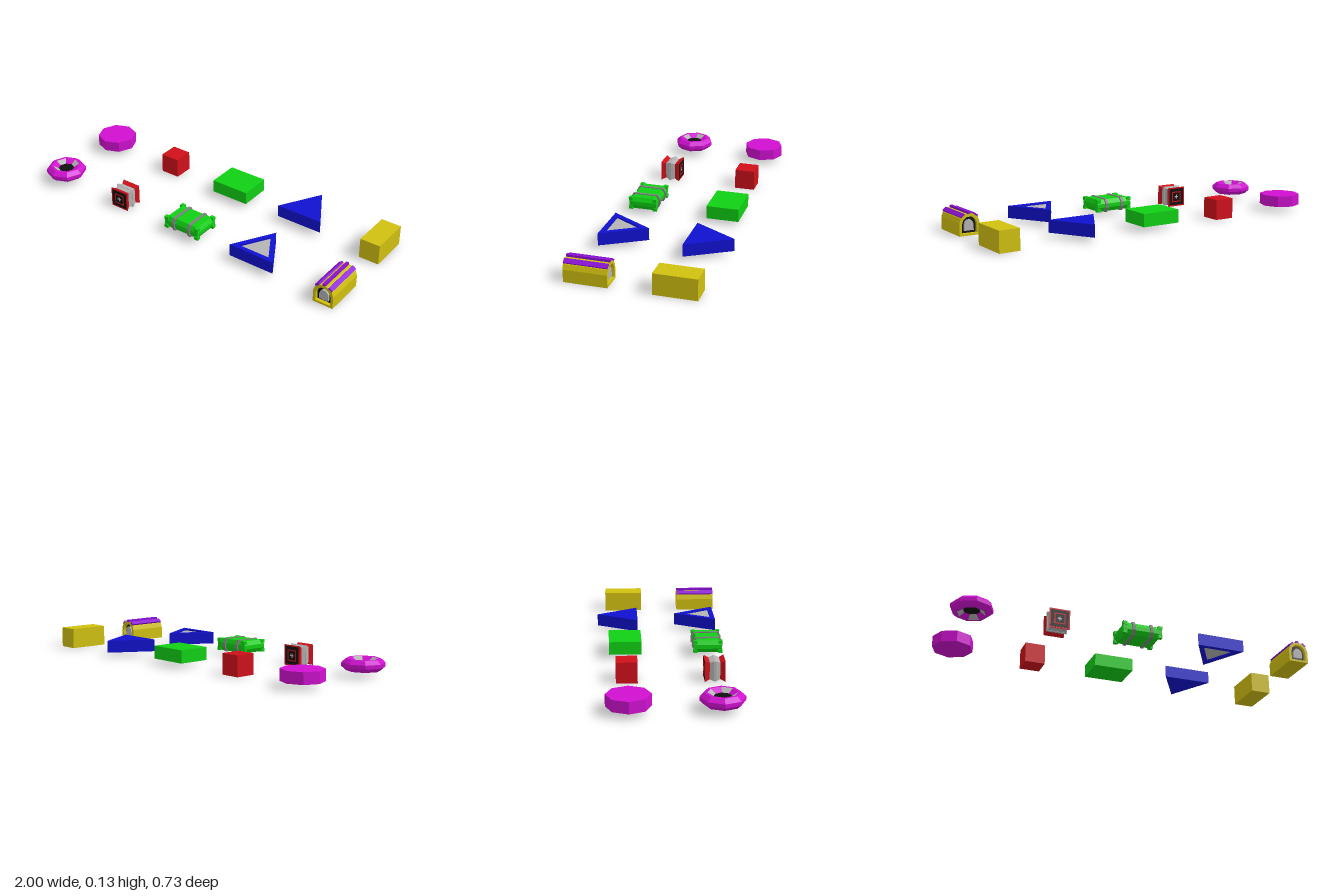
import * as THREE from 'three';

const MAGENTA = 0xd010d0, RED = 0xd0101a, GREEN = 0x10d014, BLUE = 0x1010d0, YELLOW = 0xd0c010;
const PURPLE = 0x8c10d8, GREY = 0xb4b4b4, DARK_GREY = 0x808080, BLACK = 0x111111;

function part(group, name, geometry, color, x = 0, y = 0, z = 0) {
  const material = new THREE.MeshStandardMaterial({ color, flatShading: true });
  const mesh = new THREE.Mesh(geometry, material);
  mesh.name = name;
  mesh.position.set(x, y, z);
  group.add(mesh);
  return mesh;
}

function subgroup(root, name, x, y, z) {
  const g = new THREE.Group();
  g.name = name;
  g.position.set(x, y, z);
  root.add(g);
  return g;
}

const box = (w, h, d) => new THREE.BoxGeometry(w, h, d);
const polygon = (pts) => new THREE.Shape(pts.map(([x, y]) => new THREE.Vector2(x, y)));

// Extrusion along z, centred on z = 0
function slab(shape, depth) {
  const g = new THREE.ExtrudeGeometry(shape, { depth, bevelEnabled: false });
  return g.translate(0, 0, -depth / 2);
}

// Box whose top (+y) is scaled in x and z
function taperedBox(w, h, d, topW, topD) {
  const g = box(w, h, d), p = g.attributes.position;
  for (let i = 0; i < p.count; i++) {
    if (p.getY(i) > 0) p.setXYZ(i, p.getX(i) * topW / w, p.getY(i), p.getZ(i) * topD / d);
  }
  return g;
}

// Box with a straight middle belt and tapering top and bottom
function bulgedBox(group, name, color, x, w, h, d, inX, inZ, belt) {
  const th = (h - belt) / 2;
  part(group, name + 'Belt', box(w, belt, d), color, x);
  for (const s of [1, -1]) {
    const m = part(group, name + (s > 0 ? 'Top' : 'Bottom'),
      taperedBox(w, th, d, w - 2 * inX, d - 2 * inZ), color, x, s * (belt + th) / 2);
    if (s < 0) m.rotation.x = Math.PI;
  }
}

function triangleShape(halfW, back, front) {
  return polygon([[-halfW, -front], [halfW, -front], [0, back]]);
}

function archPoints(w, y0, shoulder, top) {
  const h = top - shoulder;
  return [[-w, y0], [w, y0], [w, shoulder], [w * 0.84, shoulder + h * 0.55], [w * 0.35, top],
    [-w * 0.35, top], [-w * 0.84, shoulder + h * 0.55], [-w, shoulder]];
}

function buildRing(root) {
  const g = subgroup(root, 'octagonRing', -0.887, 0.061, 0.247);
  const outer = [[0.075, -0.031], [0.09, -0.031], [0.113, -0.01], [0.113, 0.01], [0.09, 0.031], [0.075, 0.031]];
  part(g, 'ringBody', new THREE.LatheGeometry(outer.map((p) => new THREE.Vector2(...p)), 8), MAGENTA);
  // Sloped inner panels in alternating colours, above and below
  for (let k = 0; k < 8; k++) {
    for (const s of [1, -1]) {
      const pts = [new THREE.Vector2(0.075, 0.031 * s), new THREE.Vector2(0.045, 0.012 * s)];
      if (s < 0) pts.reverse();
      part(g, 'innerPanel', new THREE.LatheGeometry(pts, 1, k * Math.PI / 4, Math.PI / 4), k % 2 ? GREY : MAGENTA);
    }
  }
  part(g, 'core', new THREE.CylinderGeometry(0.046, 0.046, 0.024, 8), BLACK);
}

function buildSpool(root) {
  const g = subgroup(root, 'spool', -0.432, 0.0565, 0.249);
  part(g, 'middleRidge', box(0.11, 0.11, 0.012), GREY);
  for (const s of [1, -1]) {
    const end = new THREE.Group();
    end.name = s > 0 ? 'frontEnd' : 'backEnd';
    if (s < 0) end.rotation.y = Math.PI;
    g.add(end);
    part(end, 'waist', taperedBox(0.106, 0.022, 0.106, 0.09, 0.09).rotateX(Math.PI / 2), GREY, 0, 0, 0.017);
    part(end, 'flange', taperedBox(0.09, 0.026, 0.09, 0.113, 0.113).rotateX(Math.PI / 2), RED, 0, 0, 0.04);
    part(end, 'facePanel', box(0.097, 0.097, 0.002), BLACK, 0, 0, 0.053);
    // Thin square frame and a small cross on the panel
    for (const t of [1, -1]) {
      part(end, 'frameBar', box(0.062, 0.006, 0.002), RED, 0, t * 0.028, 0.0542);
      part(end, 'frameSide', box(0.006, 0.05, 0.002), RED, t * 0.028, 0, 0.0542);
    }
    part(end, 'crossBar', box(0.024, 0.007, 0.002), GREY, 0, 0, 0.0542);
    part(end, 'crossPost', box(0.007, 0.024, 0.002), GREY, 0, 0, 0.0541);
  }
}

function buildCrate(root) {
  const g = subgroup(root, 'crate', 0.024, 0.061, 0.248);
  bulgedBox(g, 'crate', GREEN, 0, 0.222, 0.068, 0.154, 0.014, 0.014, 0.022);
  for (const sx of [1, -1]) {
    bulgedBox(g, 'strap', DARK_GREY, sx * 0.051, 0.016, 0.076, 0.17, 0, 0.014, 0.026);
    for (const sy of [1, -1]) for (const sz of [1, -1]) {
      part(g, 'cornerGuard', box(0.024, 0.02, 0.022), GREEN, sx * 0.1, sy * 0.025, sz * 0.069);
    }
  }
}

function buildTriangle(root) {
  const g = subgroup(root, 'triangleFrame', 0.482, 0.058, 0.248);
  const shape = triangleShape(0.136, 0.154, 0.08);
  shape.holes.push(triangleShape(0.091, 0.101, 0.054));
  part(g, 'frame', slab(shape, 0.068).rotateX(-Math.PI / 2), BLUE);
  part(g, 'panel', slab(triangleShape(0.094, 0.104, 0.056), 0.05).rotateX(-Math.PI / 2), GREY);
}

function buildTunnel(root) {
  const g = subgroup(root, 'archedHouse', 0.94, 0, 0.25);
  const wall = polygon(archPoints(0.0575, 0, 0.068, 0.115));
  wall.holes.push(polygon(archPoints(0.043, 0.012, 0.06, 0.1)));
  part(g, 'shell', slab(wall, 0.23), YELLOW);
  part(g, 'opening', slab(polygon(archPoints(0.044, 0.011, 0.06, 0.101)), 0.19), BLACK);
  part(g, 'door', slab(polygon(archPoints(0.026, 0.026, 0.056, 0.083)), 0.216), GREY);
  // Raised strips along the roof
  part(g, 'ridgeStrip', box(0.016, 0.018, 0.229), PURPLE, 0, 0.118, 0);
  for (const s of [1, -1]) {
    const m = part(g, 'roofStrip', box(0.026, 0.012, 0.229), PURPLE, s * 0.037, 0.107, 0);
    m.rotation.z = -s * 0.66;
  }
}

export function createModel() {
  const root = new THREE.Group();
  root.name = 'shapeSet';

  // Plain blocks in the back row
  part(root, 'plainOctagon', new THREE.CylinderGeometry(0.113, 0.113, 0.062, 8), MAGENTA, -0.887, 0.061, -0.207);
  part(root, 'plainCube', box(0.113, 0.113, 0.113), RED, -0.432, 0.0565, -0.208);
  part(root, 'plainBlock', box(0.226, 0.072, 0.18), GREEN, 0.024, 0.061, -0.209);
  part(root, 'plainTriangle', slab(triangleShape(0.136, 0.156, 0.08), 0.068).rotateX(-Math.PI / 2), BLUE, 0.482, 0.058, -0.209);
  part(root, 'plainBar', box(0.115, 0.115, 0.228), YELLOW, 0.94, 0.0575, -0.206);

  // Detailed versions in the front row
  buildRing(root);
  buildSpool(root);
  buildCrate(root);
  buildTriangle(root);
  buildTunnel(root);
  return root;
}
